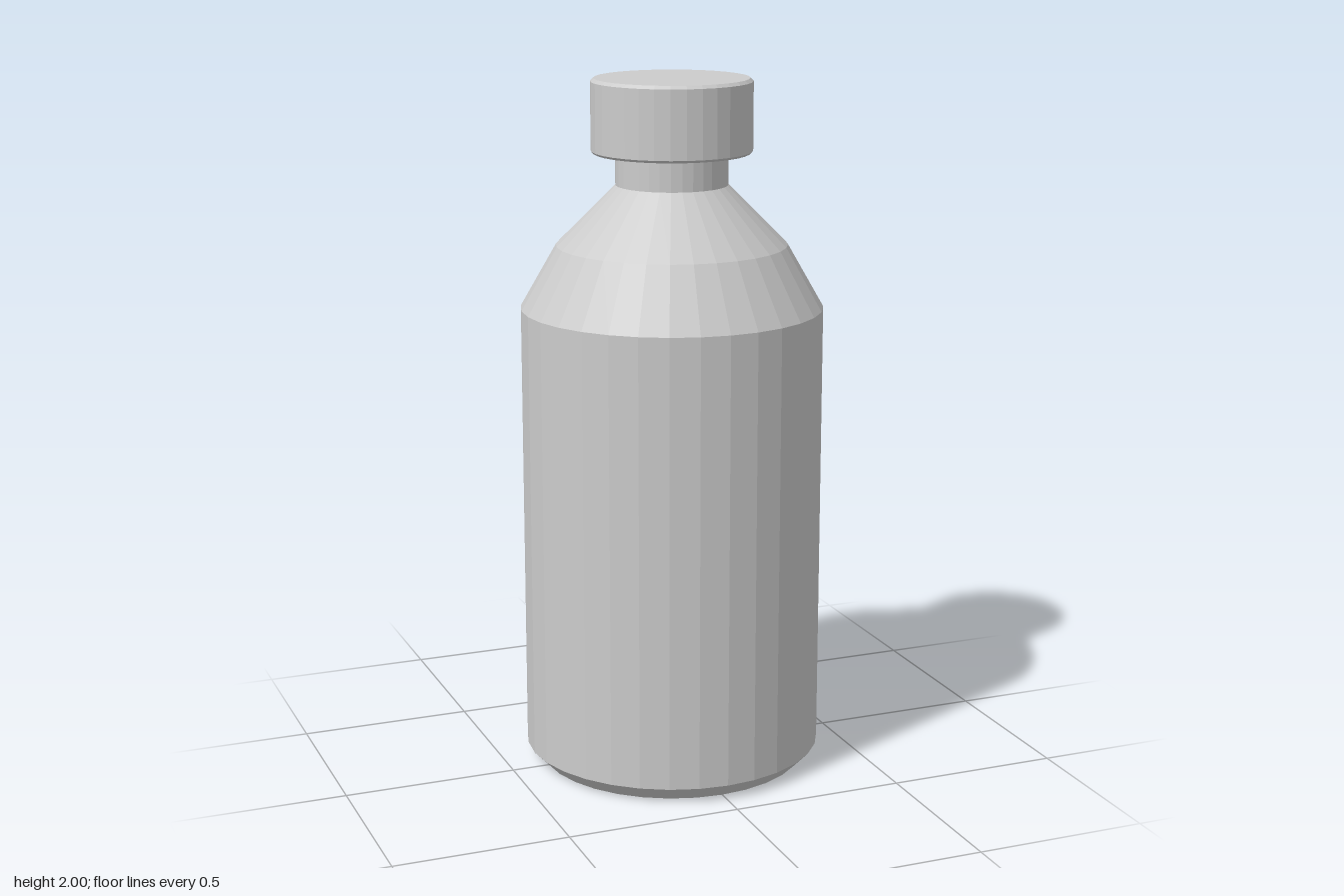
import * as THREE from 'three';

const SIDES = 32;

// Turns a bottom-to-top profile of [radius, height] pairs into a faceted part
function turned(name, profile) {
  const points = profile.map(([r, y]) => new THREE.Vector2(r, y));
  const material = new THREE.MeshStandardMaterial({ color: 0xcccccc, flatShading: true });
  const mesh = new THREE.Mesh(new THREE.LatheGeometry(points, SIDES), material);
  mesh.name = name;
  return mesh;
}

export function createModel() {
  const model = new THREE.Group();
  model.name = 'bottle';

  // Body: flat base, chamfer, straight wall, two-step shoulder and neck
  model.add(turned('body', [
    [0, 0], [0.39, 0], [0.433, 0.045], [0.433, 1.35],
    [0.33, 1.53], [0.16, 1.7], [0.16, 1.8], [0, 1.8],
  ]));

  // Cap: short cylinder with small bevels on both rims
  model.add(turned('cap', [
    [0, 1.79], [0.222, 1.79], [0.229, 1.797],
    [0.229, 1.991], [0.22, 2], [0, 2],
  ]));

  return model;
}
